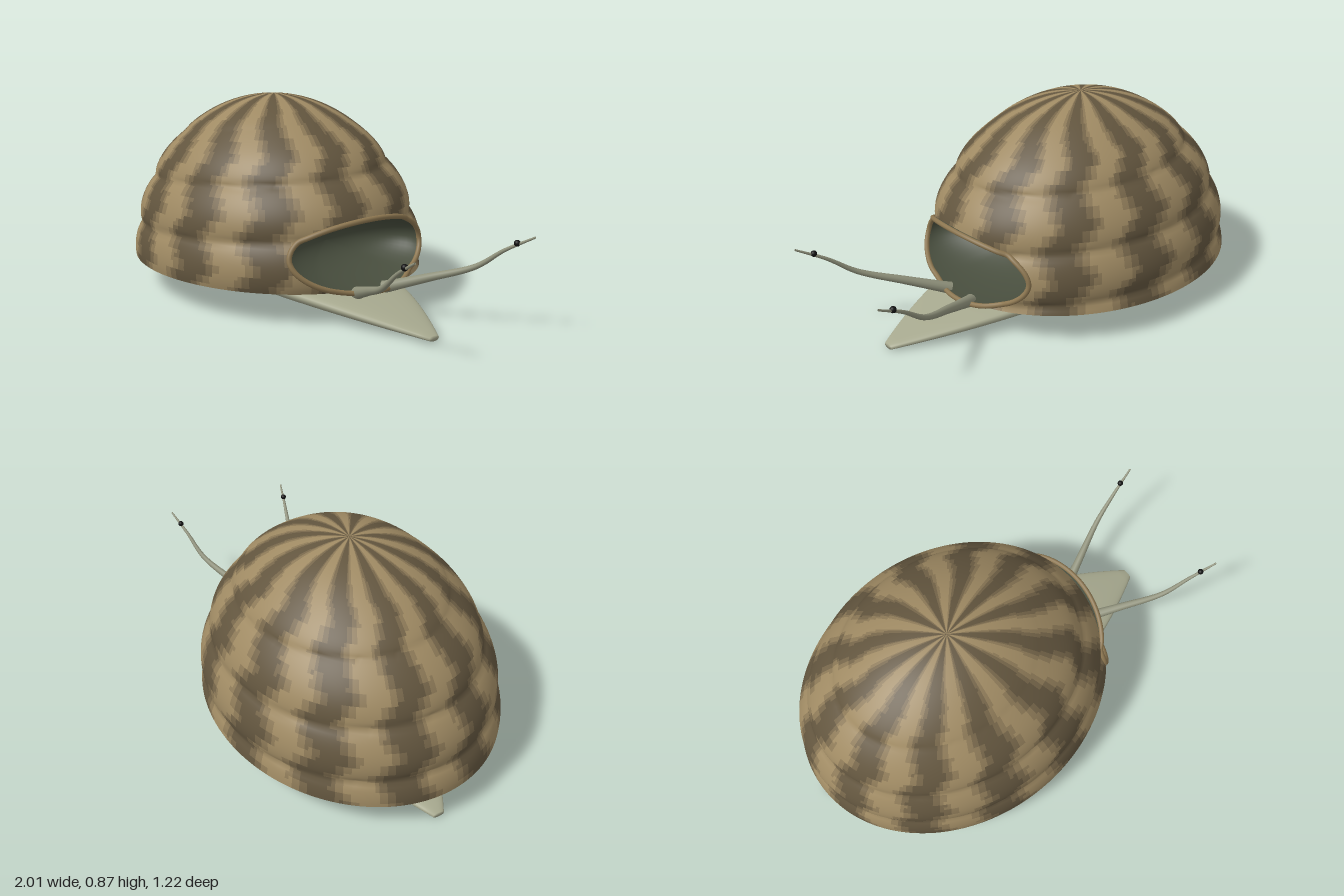
import * as THREE from 'three';

const CX = -0.265, AX = 0.735, AY = 0.74, AZ = 0.605, BASE = 0.135;
const HOLE = { y: 0.267, ry: 0.15, rz: 0.345 };
const mat = (color) => new THREE.MeshStandardMaterial({ color, side: THREE.DoubleSide, roughness: 0.8 });

// Height above the spiral groove, in whorls
const whorl = (phi, y) => (y - 0.25) / 0.213 - (Math.PI - phi) / (2 * Math.PI);

// Rounded whorls with a sunken groove between them, fading out at the crown
function bulge(phi, y) {
  const h = whorl(phi, y), f = h - Math.floor(h);
  const fade = 1 - THREE.MathUtils.smoothstep(y, 0.64, 0.8);
  return fade * 0.045 * (Math.pow(Math.sin(Math.PI * f), 0.55) - 0.72);
}

function shellPoint(phi, theta) {
  const y = BASE + AY * Math.sin(theta);
  const c = Math.cos(theta) * (1 + bulge(phi, y));
  return new THREE.Vector3(CX + AX * c * Math.cos(phi), y, AZ * c * Math.sin(phi));
}

// x of the shell's +x side at a given height and depth
function shellX(y, z) {
  const s = Math.max(0, (y - BASE) / AY), c0 = Math.sqrt(1 - s * s);
  const phi = Math.asin(THREE.MathUtils.clamp(z / AZ / c0, -1, 1));
  const c = c0 * (1 + bulge(phi, Math.max(y, BASE)));
  return CX + AX * Math.sqrt(Math.max(0, c * c - (z / AZ) ** 2));
}

const holeSize = (p) => (p.x > 0 ? Math.hypot((p.y - HOLE.y) / HOLE.ry, p.z / HOLE.rz) : 9);

// Point on the mouth edge, with a slight flare at the top
function rimPoint(b) {
  const y = HOLE.y + HOLE.ry * Math.sin(b), z = HOLE.rz * Math.cos(b);
  return new THREE.Vector3(shellX(y, z) + 0.02 * Math.max(0, Math.sin(b)), y, z);
}

// Surface closed around i and open along j; emit(i, j, corners) sorts the triangles
function loft(ni, nj, point, emit) {
  const pts = [], index = [];
  for (let j = 0; j <= nj; j++) for (let i = 0; i < ni; i++) pts.push(point(i / ni, j / nj, j));
  const add = emit || ((i, j, tri) => index.push(...tri));
  for (let j = 0; j < nj; j++) for (let i = 0; i < ni; i++) {
    const a = j * ni + i, b = j * ni + (i + 1) % ni, c = a + ni, d = b + ni;
    add(i, j, [a, c, b], pts);
    add(i, j, [b, c, d], pts);
  }
  const g = new THREE.BufferGeometry().setFromPoints(pts);
  g.setIndex(index);
  return g;
}

// Striped dome with the mouth cut out
function makeShell() {
  const NI = 264, NJ = 72, tones = [0x9f8a63, 0x8c7957, 0x76664a, 0x62553e];
  const buckets = tones.map(() => []);
  const steps = [0, 0.45, 0.9, 0.6, 0.25];
  const snap = new Set();
  const g = loft(NI, NJ,
    (u, v) => shellPoint(u * 2 * Math.PI, v * Math.PI / 2),
    (i, j, tri, pts) => {
      const inside = tri.filter((k) => holeSize(pts[k]) < 1);
      if (inside.length === 3) return;
      inside.forEach((k) => snap.add(k));
      const phi = (i + 0.5) / NI * 2 * Math.PI, y = BASE + AY * Math.sin((j + 0.5) / NJ * Math.PI / 2);
      const k = Math.floor(whorl(phi, y) * 5);
      const jag = steps[((k % 5) + 5) % 5] * (1 - THREE.MathUtils.smoothstep(y, 0.7, 0.87));
      const dark = 0.5 - 0.5 * Math.cos(12 * phi + 1.6 * jag + 1.5 * (y - 0.5));
      buckets[Math.min(3, Math.floor(dark * 4))].push(...tri);
    });
  // Pull the cut edge onto the mouth's oval
  const pos = g.attributes.position, p = new THREE.Vector3();
  snap.forEach((k) => {
    p.fromBufferAttribute(pos, k);
    const s = 1 / holeSize(p);
    const y = Math.max(BASE, HOLE.y + (p.y - HOLE.y) * s), z = p.z * s;
    pos.setXYZ(k, shellX(y, z), y, z);
  });
  g.setIndex(buckets.flat());
  let start = 0;
  buckets.forEach((b, m) => { g.addGroup(start, b.length, m); start += b.length; });
  g.computeVertexNormals();
  return new THREE.Mesh(g, tones.map(mat));
}

// Dark hollow behind the mouth
function makeHollow() {
  const g = loft(64, 16, (u, v) => {
    const rim = rimPoint(u * 2 * Math.PI), s = Math.cos(v * Math.PI / 2), k = 1 - Math.sin(v * Math.PI / 2);
    return new THREE.Vector3(0.12 + (rim.x - 0.12) * k, HOLE.y + (rim.y - HOLE.y) * s, rim.z * s);
  });
  g.computeVertexNormals();
  return new THREE.Mesh(g, mat(0x474d3d));
}

// Leaf-shaped sole, arched along its length, with closed tips
function makeFoot() {
  const NJ = 50;
  const g = loft(40, NJ, (u, v, j) => {
    const t = THREE.MathUtils.clamp((j - 1) / (NJ - 2), 0, 1) * 2 - 1, arch = 1 - t * t;
    const cap = j === 0 || j === NJ ? 0 : 1;
    const w = cap * (0.025 + 0.28 * (1 - Math.pow(Math.abs(t), 1.87)));
    const mid = 0.013 + 0.09 * arch, top = 0.025 + 0.118 * arch, low = 0.003 + 0.027 * arch;
    const a = u * 2 * Math.PI, s = Math.sin(a), c = Math.cos(a);
    const y = mid + cap * (s > 0 ? (top - mid) * Math.pow(s, 0.7) : (mid - low) * s);
    return new THREE.Vector3(-0.105 + 0.895 * t, y, w * Math.sign(c) * Math.pow(Math.abs(c), 0.85));
  });
  g.computeVertexNormals();
  return new THREE.Mesh(g, mat(0xa6a88e));
}

// Tapered tube along a bent path
function makeTentacle(side) {
  const path = new THREE.CatmullRomCurve3([[0.42, 0.115, 0.07], [0.59, 0.18, 0.155], [0.765, 0.25, 0.24],
    [0.88, 0.335, 0.274], [0.998, 0.403, 0.306]].map(([x, y, z]) => new THREE.Vector3(x, y, z * side)));
  const N = 32, R = 12, g = new THREE.TubeGeometry(path, N, 1, R);
  const pos = g.attributes.position, p = new THREE.Vector3();
  for (let i = 0; i <= N; i++) {
    const c = path.getPointAt(i / N), r = THREE.MathUtils.lerp(0.027, 0.004, Math.pow(i / N, 0.75));
    for (let k = 0; k <= R; k++) {
      const n = i * (R + 1) + k;
      p.fromBufferAttribute(pos, n).sub(c).multiplyScalar(r).add(c);
      pos.setXYZ(n, p.x, p.y, p.z);
    }
  }
  return new THREE.Mesh(g, mat(0x8f917b));
}

export function createModel() {
  const model = new THREE.Group();
  const add = (name, mesh) => { mesh.name = name; model.add(mesh); return mesh; };

  add('shell', makeShell());
  add('mouthHollow', makeHollow());
  const rimPath = new THREE.CatmullRomCurve3(
    Array.from({ length: 48 }, (_, i) => rimPoint(i / 48 * 2 * Math.PI)), true);
  add('mouthRim', new THREE.Mesh(new THREE.TubeGeometry(rimPath, 120, 0.011, 10, true), mat(0x8c7650)));
  add('foot', makeFoot());

  for (const [side, label] of [[1, 'left'], [-1, 'right']]) {
    add(label + 'Tentacle', makeTentacle(side));
    const eye = add(label + 'Eye', new THREE.Mesh(new THREE.SphereGeometry(0.013, 16, 12), mat(0x111111)));
    eye.position.set(0.928, 0.37, 0.288 * side);
  }
  return model;
}
